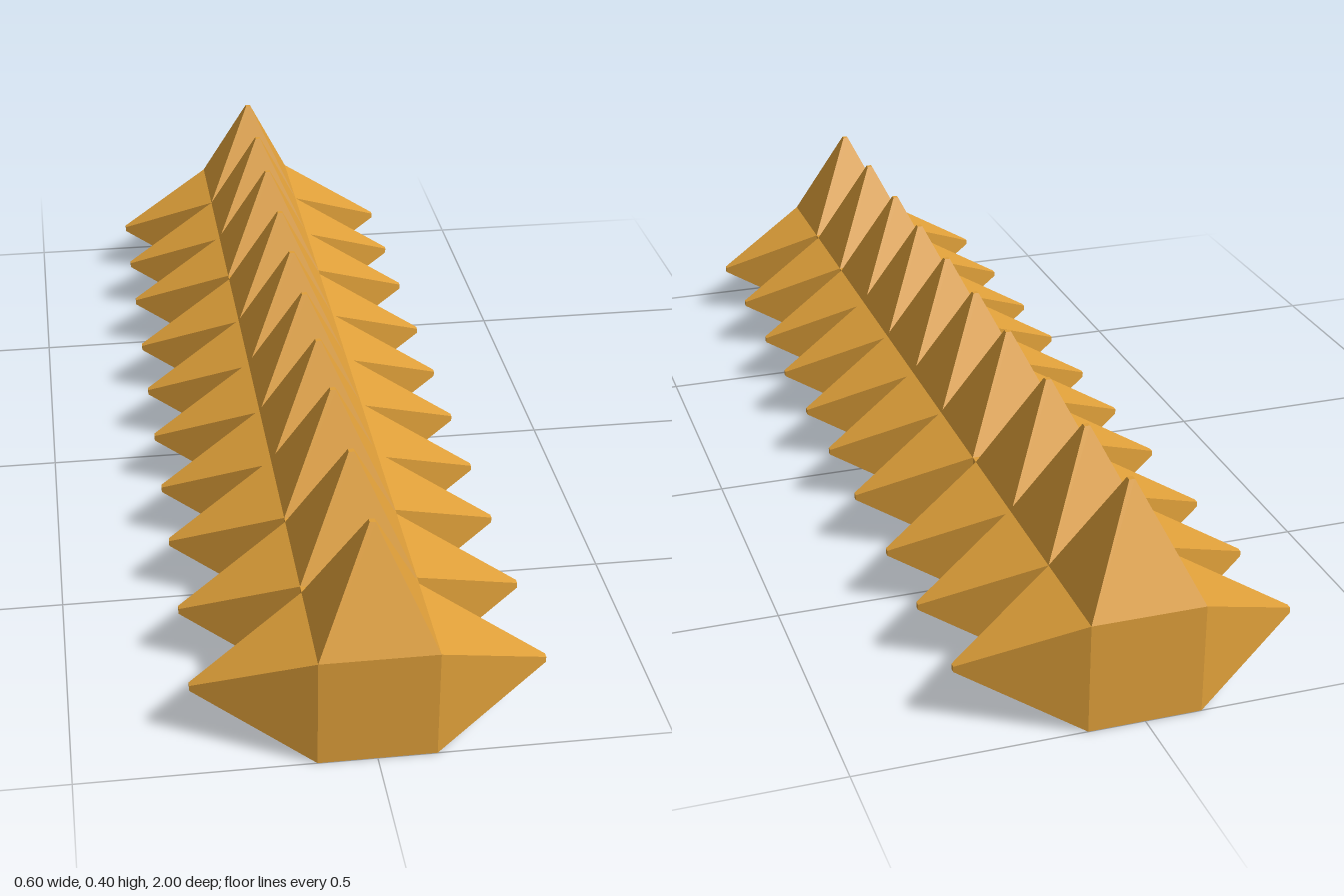
import * as THREE from 'three';

export function createModel() {
  const model = new THREE.Group();
  const amber = new THREE.MeshStandardMaterial({ color: 0xe0a03a, flatShading: true });
  amber.name = 'amber';

  // Square bar running front to back
  const bar = new THREE.Mesh(new THREE.BoxGeometry(0.2, 0.2, 2), amber);
  bar.name = 'bar';
  bar.position.y = 0.1;
  model.add(bar);

  // Four-sided spike with a slightly blunt tip, base at the origin, pointing up
  const spikeGeometry = new THREE.CylinderGeometry(
    0.005 * Math.SQRT2, 0.1 * Math.SQRT2, 0.2, 4, 1, false, Math.PI / 4);
  spikeGeometry.translate(0, 0.1, 0);

  function addSpike(parent, name, x, y, tilt) {
    const spike = new THREE.Mesh(spikeGeometry, amber);
    spike.name = name;
    spike.position.set(x, y, 0);
    spike.rotation.z = tilt;
    parent.add(spike);
  }

  // Slightly uneven rows of three spikes: top, left and right
  const rows = [0.9, 0.683, 0.47, 0.285, 0.092, -0.095, -0.29, -0.508, -0.7, -0.9];
  for (const z of rows) {
    const row = new THREE.Group();
    row.name = 'spikeRow';
    row.position.z = z;
    addSpike(row, 'topSpike', 0, 0.2, 0);
    addSpike(row, 'leftSpike', 0.1, 0.1, -Math.PI / 2);
    addSpike(row, 'rightSpike', -0.1, 0.1, Math.PI / 2);
    model.add(row);
  }
  return model;
}
